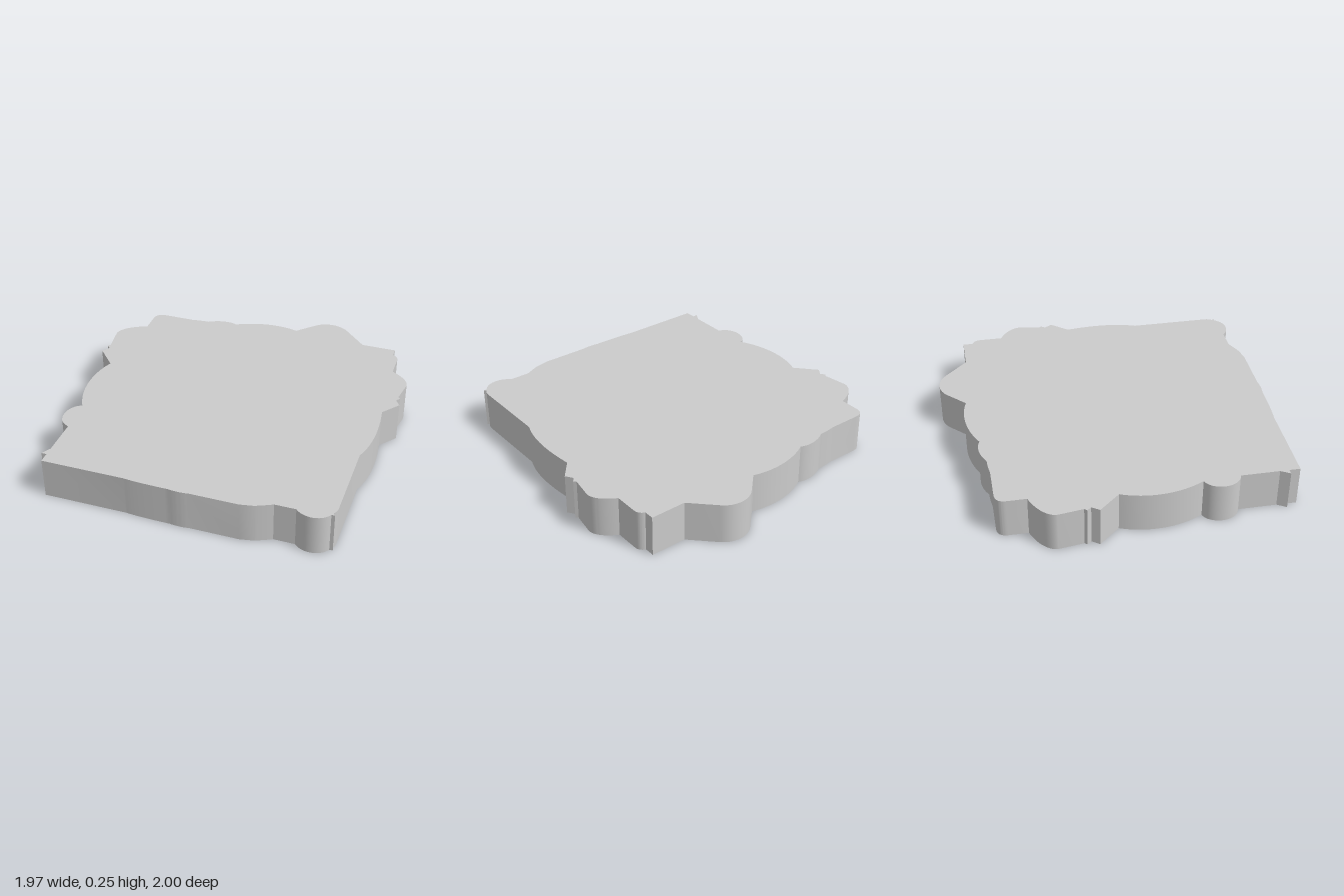
import * as THREE from 'three';
import { toCreasedNormals } from 'three/addons/utils/BufferGeometryUtils.js';

const HEIGHT = 0.25;

// Outline steps, counterclockwise from the front right corner, as (x, -z):
// 2 numbers = straight line, 4 = quadratic curve, 6 = cubic curve
const OUTLINE = [
  // front edge with its shallow bulge and rounded lobe
  [-0.33, -0.98], [-0.25, -0.99, -0.06, -0.99], [0, -1.0, 0.06, -0.99], [0.35, -0.99],
  [0.43, -0.975], [0.47, -0.96, 0.53, -0.93], [0.655, -0.93],
  [0.70, -0.98, 0.80, -0.99, 0.845, -0.915],
  // left side: notch, long bow, pointed tab and shoulder
  [0.865, -0.915], [0.853, -0.9], [0.87, -0.88, 0.87, -0.85], [0.87, -0.36],
  [0.92, -0.24, 0.925, -0.08, 0.9, 0.1],
  [0.985, 0.205], [0.955, 0.25], [0.975, 0.275], [0.962, 0.29], [0.985, 0.43],
  [0.98, 0.5, 0.87, 0.56], [0.87, 0.7], [0.87, 0.74, 0.832, 0.755],
  // back edge: step, tall crest, wide arch and small bump
  [0.832, 0.815], [0.615, 0.815], [0.48, 0.95],
  [0.42, 1.015, 0.32, 1.015, 0.26, 0.96], [0.15, 0.85],
  [0.02, 0.89, -0.14, 0.87, -0.26, 0.8],
  [-0.31, 0.825, -0.39, 0.815, -0.45, 0.775], [-0.5, 0.775, -0.56, 0.765],
  [-0.76, 0.765], [-0.825, 0.765, -0.825, 0.7],
  // right side: shoulder, pointed tab, bow, round lobe and corner spur
  [-0.825, 0.585], [-0.94, 0.545, -0.995, 0.48, -0.985, 0.43], [-0.965, 0.29],
  [-0.978, 0.275], [-0.957, 0.25], [-0.988, 0.205], [-0.875, 0.08],
  [-0.94, -0.07, -0.93, -0.26, -0.845, -0.41],
  [-0.93, -0.43, -0.945, -0.6, -0.835, -0.63],
  [-0.835, -0.86], [-0.867, -0.915], [-0.835, -0.915],
];

export function createModel() {
  const shape = new THREE.Shape();
  shape.moveTo(-0.835, -0.98);
  for (const step of OUTLINE) {
    if (step.length === 2) shape.lineTo(...step);
    else if (step.length === 4) shape.quadraticCurveTo(...step);
    else shape.bezierCurveTo(...step);
  }
  shape.closePath();

  // Flat slab, laid down so that its thickness runs along y
  const slab = new THREE.ExtrudeGeometry(shape, { depth: HEIGHT, bevelEnabled: false, curveSegments: 16 });
  slab.rotateX(-Math.PI / 2);

  const mesh = new THREE.Mesh(
    toCreasedNormals(slab, 0.4),
    new THREE.MeshStandardMaterial({ color: 0xcccccc })
  );
  mesh.name = 'contouredSlab';

  const group = new THREE.Group();
  group.name = 'contouredPlaque';
  group.add(mesh);
  return group;
}
